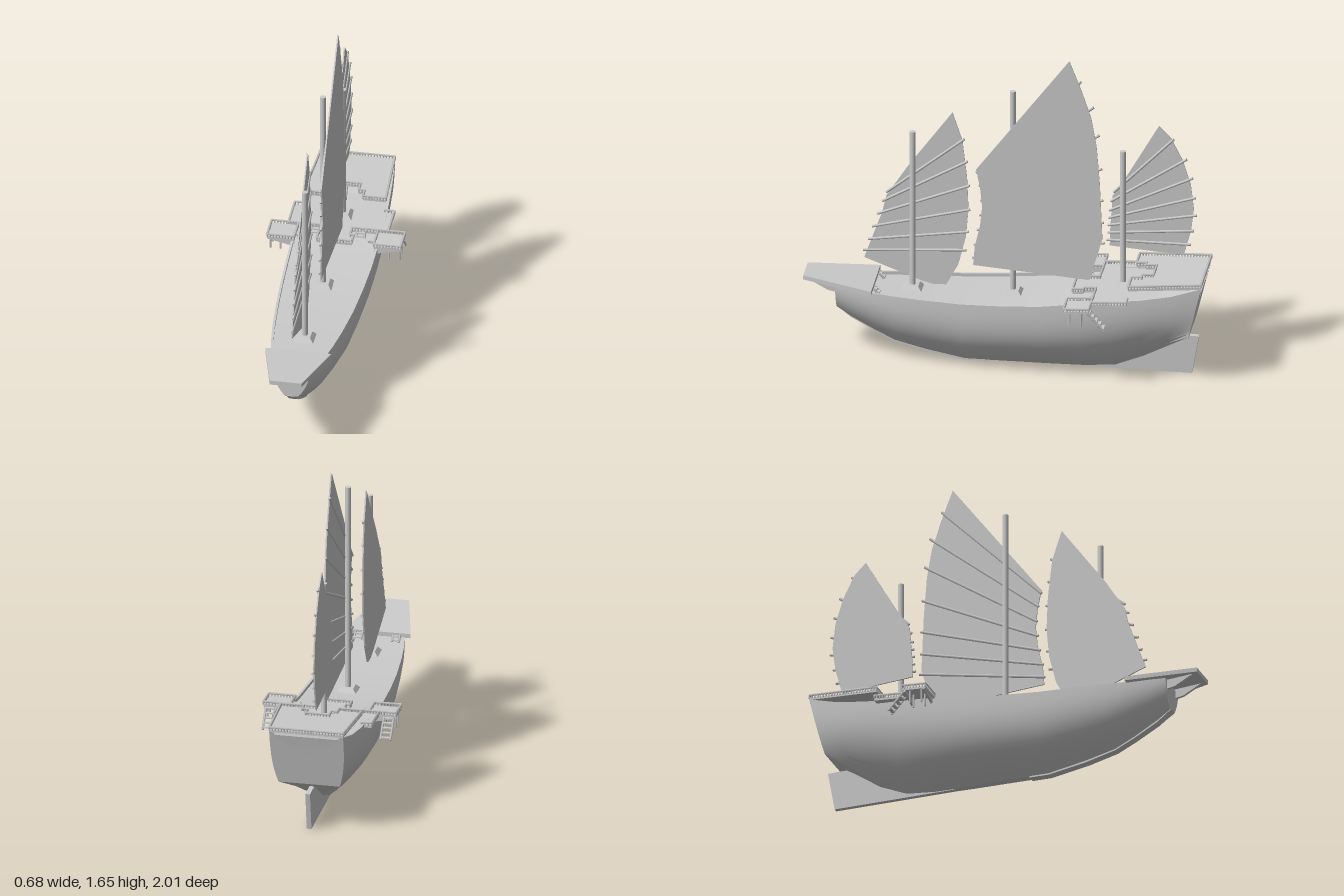
import * as THREE from 'three';
import { toCreasedNormals } from 'three/addons/utils/BufferGeometryUtils.js';

const mat = new THREE.MeshStandardMaterial({ color: 0xcccccc });
const V = (x, y, z) => new THREE.Vector3(x, y, z);

function add(parent, name, geo) {
  const m = new THREE.Mesh(geo, mat);
  m.name = name;
  parent.add(m);
  return m;
}

function group(parent, name) {
  const g = new THREE.Group();
  g.name = name;
  parent.add(g);
  return g;
}

const shapeOf = pts => new THREE.Shape(pts.map(p => new THREE.Vector2(p[0], p[1])));

// round bar between two points
function beam(parent, name, a, b, r, sides = 6) {
  const d = b.clone().sub(a);
  const m = add(parent, name, new THREE.CylinderGeometry(r, r, d.length(), sides));
  m.position.copy(a).add(b).multiplyScalar(0.5);
  m.quaternion.setFromUnitVectors(V(0, 1, 0), d.normalize());
  return m;
}

// vertical plate from a [z, y] outline, centred on x
function plate(parent, name, pts, thick, x = 0) {
  const g = new THREE.ExtrudeGeometry(shapeOf(pts), { depth: thick, bevelEnabled: false });
  g.rotateY(-Math.PI / 2).translate(x + thick / 2, 0, 0);
  return add(parent, name, g);
}

// slab from an [x, z] outline whose height follows yAt(z)
function slab(parent, name, pts, thick, yAt) {
  const g = new THREE.ExtrudeGeometry(shapeOf(pts.map(([x, z]) => [x, -z])), { depth: thick, bevelEnabled: false });
  g.rotateX(-Math.PI / 2);
  const p = g.attributes.position;
  for (let i = 0; i < p.count; i++) p.setY(i, p.getY(i) + yAt(p.getZ(i)));
  g.computeVertexNormals();
  return add(parent, name, g);
}

// low balustrade along an [x, z] line
function railing(parent, pts, h, yAt) {
  const g = group(parent, 'railing');
  for (let i = 0; i < pts.length - 1; i++) {
    const [a, b] = [pts[i], pts[i + 1]].map(([x, z]) => V(x, yAt(z), z));
    const up = V(0, h, 0);
    beam(g, 'handrail', a.clone().add(up), b.clone().add(up), 0.006, 4);
    const n = Math.max(1, Math.round(a.distanceTo(b) / 0.015));
    for (let k = 0; k <= n; k++) {
      const p = a.clone().lerp(b, k / n);
      beam(g, 'baluster', p, p.clone().add(up), 0.004, 4);
    }
  }
}

function ladder(parent, top, bottom, width, rungs) {
  const g = group(parent, 'ladder');
  for (const s of [-1, 1]) {
    const o = V(s * width / 2, 0, 0);
    beam(g, 'ladderSide', top.clone().add(o), bottom.clone().add(o), 0.006, 4);
  }
  for (let i = 0; i < rungs; i++) {
    const p = top.clone().lerp(bottom, (i + 0.5) / rungs);
    const m = add(g, 'rung', new THREE.BoxGeometry(width, 0.006, 0.016));
    m.position.copy(p);
  }
}

// stations: z at sheer, z at bottom, sheer y, bottom y, half width at top, at bottom, fullness
const STATIONS = [
  [0.84, 0.84, 0.405, 0.26, 0.09, 0.035, 2.2],
  [0.77, 0.77, 0.395, 0.21, 0.11, 0.03, 2.4],
  [0.65, 0.65, 0.388, 0.14, 0.137, 0.024, 2.6],
  [0.55, 0.55, 0.385, 0.09, 0.155, 0.022, 2.7],
  [0.4, 0.4, 0.382, 0.05, 0.175, 0.02, 2.8],
  [0.2, 0.2, 0.38, 0.01, 0.194, 0.018, 3],
  [0, 0, 0.388, 0.01, 0.207, 0.018, 3],
  [-0.2, -0.2, 0.402, 0.01, 0.215, 0.018, 3],
  [-0.4, -0.4, 0.43, 0.012, 0.218, 0.018, 2.9],
  [-0.55, -0.55, 0.45, 0.025, 0.217, 0.018, 2.7],
  [-0.7, -0.69, 0.465, 0.085, 0.21, 0.028, 2.6],
  [-0.85, -0.82, 0.49, 0.175, 0.2, 0.09, 2.8],
  [-1, -0.93, 0.535, 0.24, 0.187, 0.155, 3],
];

function hullGeometry() {
  const N = 14, pos = [], idx = [];
  for (const [zt, zb, yt, yb, w, b, n] of STATIONS) {
    const side = [];
    for (let i = 0; i <= N; i++) {
      const t = 1 - i / N;
      side.push([b + (w - b) * (1 - (1 - t) ** n), yb + (yt - yb) * t, zb + (zt - zb) * t]);
    }
    const wi = w - 0.012, yd = yt - 0.016;
    const ring = [...side, ...side.slice().reverse().map(([x, y, z]) => [-x, y, z]),
      [-wi, yt, zt], [-wi, yd, zt], [wi, yd, zt], [wi, yt, zt]];
    ring.forEach(p => pos.push(...p));
  }
  const R = pos.length / 3 / STATIONS.length, S = STATIONS.length;
  for (let s = 0; s < S - 1; s++) for (let i = 0; i < R; i++) {
    const a = s * R + i, b = s * R + (i + 1) % R;
    idx.push(a, b, a + R, b, b + R, a + R);
  }
  // bow face and transom
  for (const s of [0, S - 1]) {
    const [zt, zb, yt, yb] = STATIONS[s], c = pos.length / 3;
    pos.push(0, (yt + yb) / 2, (zt + zb) / 2);
    for (let i = 0; i < R; i++) {
      const a = s * R + i, b = s * R + (i + 1) % R;
      idx.push(c, ...(s ? [a, b] : [b, a]));
    }
  }
  const g = new THREE.BufferGeometry();
  g.setAttribute('position', new THREE.Float32BufferAttribute(pos, 3));
  g.setIndex(idx);
  return toCreasedNormals(g, 0.6);
}

// mast with stepped foot, thin sail and fanned battens on its mast side; outlines are [z, y]
function rig(parent, name, { z, base, top, x, outline, luff, leech }) {
  const g = group(parent, name);
  beam(g, 'mast', V(0, base, z), V(0, top, z), 0.015, 16);
  const foot = add(g, 'mastFoot', new THREE.CylinderGeometry(0.045, 0.07, 0.022, 4).rotateY(Math.PI / 4).toNonIndexed());
  foot.geometry.computeVertexNormals();
  foot.position.set(0, base + 0.01, z);
  plate(g, 'sail', outline, 0.007, x);
  const xb = x - Math.sign(x) * 0.004;
  luff.forEach(([z0, y0], i) => {
    const [z1, y1] = leech[i];
    beam(g, 'batten', V(xb, y0, z0), V(xb, y1, z1), 0.007);
  });
}

export function createModel() {
  const ship = new THREE.Group();
  ship.name = 'sailingShip';
  add(ship, 'hull', hullGeometry());
  plate(ship, 'stemKeel', [[0.845, 0.26], [0.77, 0.2], [0.65, 0.132], [0.55, 0.082], [0.4, 0.042], [0.2, 0.005],
    [0.1, 0.005], [0.1, 0.03], [0.2, 0.03], [0.6, 0.14], [0.8, 0.26]], 0.044);
  plate(ship, 'rudder', [[-0.3, 0.008], [-0.93, 0], [-0.965, 0.2], [-0.8, 0.205], [-0.6, 0.12], [-0.3, 0.06]], 0.024);

  // bow platform
  const bowY = z => 0.384 + (z - 0.65) * 0.085;
  slab(ship, 'bowPlatform', [[-0.165, 0.65], [0.165, 0.65], [0.08, 1], [-0.08, 1]], 0.022, bowY);
  for (const s of [-1, 1]) {
    plate(ship, 'bowBracket', [[0.83, 0.35], [0.88, 0.36], [0.98, 0.415], [0.83, 0.402]], 0.015, s * 0.06);
    ladder(ship, V(s * 0.095, 0.4, 0.645), V(s * 0.095, 0.372, 0.615), 0.035, 2);
  }

  // middle deck with side wings
  const midY = z => 0.425 + 0.055 * (-0.33 - z);
  const midHalf = [[0.088, -0.345], [0.088, -0.4], [0.07, -0.4], [0.07, -0.46], [0.25, -0.46], [0.25, -0.635], [0.2, -0.635], [0.195, -0.8]];
  const mirror = pts => pts.map(([x, z]) => [-x, z]).reverse();
  slab(ship, 'middleDeck', [...midHalf, ...mirror(midHalf)], 0.012, midY);
  const midRail = z => midY(z) + 0.01;
  railing(ship, [...mirror(midHalf.slice(0, 7)), ...midHalf.slice(0, 7)], 0.017, midRail);
  for (const s of [-1, 1]) {
    const wing = [[0.2, -0.335], [0.335, -0.335], [0.335, -0.46], [0.2, -0.46]].map(([x, z]) => [s * x, z]);
    slab(ship, 'sideWing', wing, 0.012, midY);
    railing(ship, [...wing, wing[0]], 0.017, midRail);
    for (const z of [-0.345, -0.445]) {
      const b = new THREE.ExtrudeGeometry(shapeOf([[0.2, 0.392], [0.335, 0.422], [0.335, 0.432], [0.2, 0.432]].map(([x, y]) => [s * x, y])),
        { depth: 0.01, bevelEnabled: false });
      add(ship, 'wingBracket', b).position.z = z - 0.005;
    }
    for (const z of [-0.36, -0.42]) for (const x of [0.272, 0.324])
      beam(ship, 'wingPost', V(s * x, 0.36, z), V(s * x, 0.43, z), 0.005, 4);
    ladder(ship, V(s * 0.298, 0.435, -0.45), V(s * 0.298, 0.34, -0.535), 0.05, 5);
    ladder(ship, V(s * 0.115, 0.445, -0.455), V(s * 0.115, 0.405, -0.425), 0.04, 3);
    ladder(ship, V(s * 0.18, 0.44, -0.385), V(s * 0.18, 0.41, -0.41), 0.03, 3);
  }

  // raised stern deck with a notch at its front
  const upY = z => 0.51 + 0.06 * (-0.64 - z);
  const upHalf = [[0.06, -0.745], [0.06, -0.69], [0.09, -0.69], [0.09, -0.64], [0.206, -0.64], [0.186, -1]];
  const upper = [...upHalf, ...mirror(upHalf)];
  slab(ship, 'sternDeck', upper, 0.012, upY);
  railing(ship, [...upper, upper[0]], 0.018, z => upY(z) + 0.008);
  ladder(ship, V(-0.03, 0.515, -0.745), V(-0.03, 0.455, -0.71), 0.04, 4);

  // three rigs
  rig(ship, 'foreRig', {
    z: 0.465, base: 0.37, top: 1.215, x: -0.023,
    outline: [[0.27, 1.32], [0.22, 1.17], [0.197, 0.97], [0.19, 0.8], [0.203, 0.65], [0.24, 0.5], [0.3, 0.388],
      [0.36, 0.385], [0.42, 0.4], [0.71, 0.51], [0.66, 0.65], [0.62, 0.76], [0.6, 0.85], [0.49, 1.02]],
    luff: [[0.715, 0.55], [0.69, 0.61], [0.67, 0.68], [0.645, 0.75], [0.62, 0.82], [0.6, 0.87]],
    leech: [[0.2, 0.58], [0.187, 0.68], [0.182, 0.8], [0.184, 0.93], [0.195, 1.06], [0.21, 1.18]],
  });
  rig(ship, 'mainRig', {
    z: -0.035, base: 0.375, top: 1.465, x: 0.023,
    outline: [[-0.32, 1.655], [-0.38, 1.5], [-0.43, 1.35], [-0.456, 1.2], [-0.472, 1], [-0.485, 0.7], [-0.42, 0.477],
      [0.16, 0.522], [0.152, 0.62], [0.125, 0.74], [0.115, 0.84], [0.125, 0.94], [0.145, 1.04]],
    luff: [[0.165, 0.56], [0.158, 0.63], [0.142, 0.71], [0.13, 0.79], [0.125, 0.87], [0.132, 0.95], [0.147, 1.02]],
    leech: [[-0.495, 0.68], [-0.49, 0.79], [-0.488, 0.91], [-0.482, 1.08], [-0.468, 1.26], [-0.44, 1.41], [-0.378, 1.545]],
  });
  rig(ship, 'mizzenRig', {
    z: -0.585, base: 0.45, top: 1.175, x: -0.025,
    outline: [[-0.76, 1.31], [-0.82, 1.25], [-0.88, 1.13], [-0.92, 1], [-0.935, 0.87], [-0.92, 0.75], [-0.885, 0.62],
      [-0.515, 0.65], [-0.518, 0.75], [-0.53, 0.92], [-0.6, 1.03]],
    luff: [[-0.5, 0.68], [-0.505, 0.72], [-0.506, 0.76], [-0.51, 0.8], [-0.512, 0.84], [-0.52, 0.89], [-0.535, 0.94]],
    leech: [[-0.92, 0.68], [-0.935, 0.755], [-0.95, 0.84], [-0.945, 0.935], [-0.93, 1.04], [-0.9, 1.14], [-0.835, 1.245]],
  });
  return ship;
}
